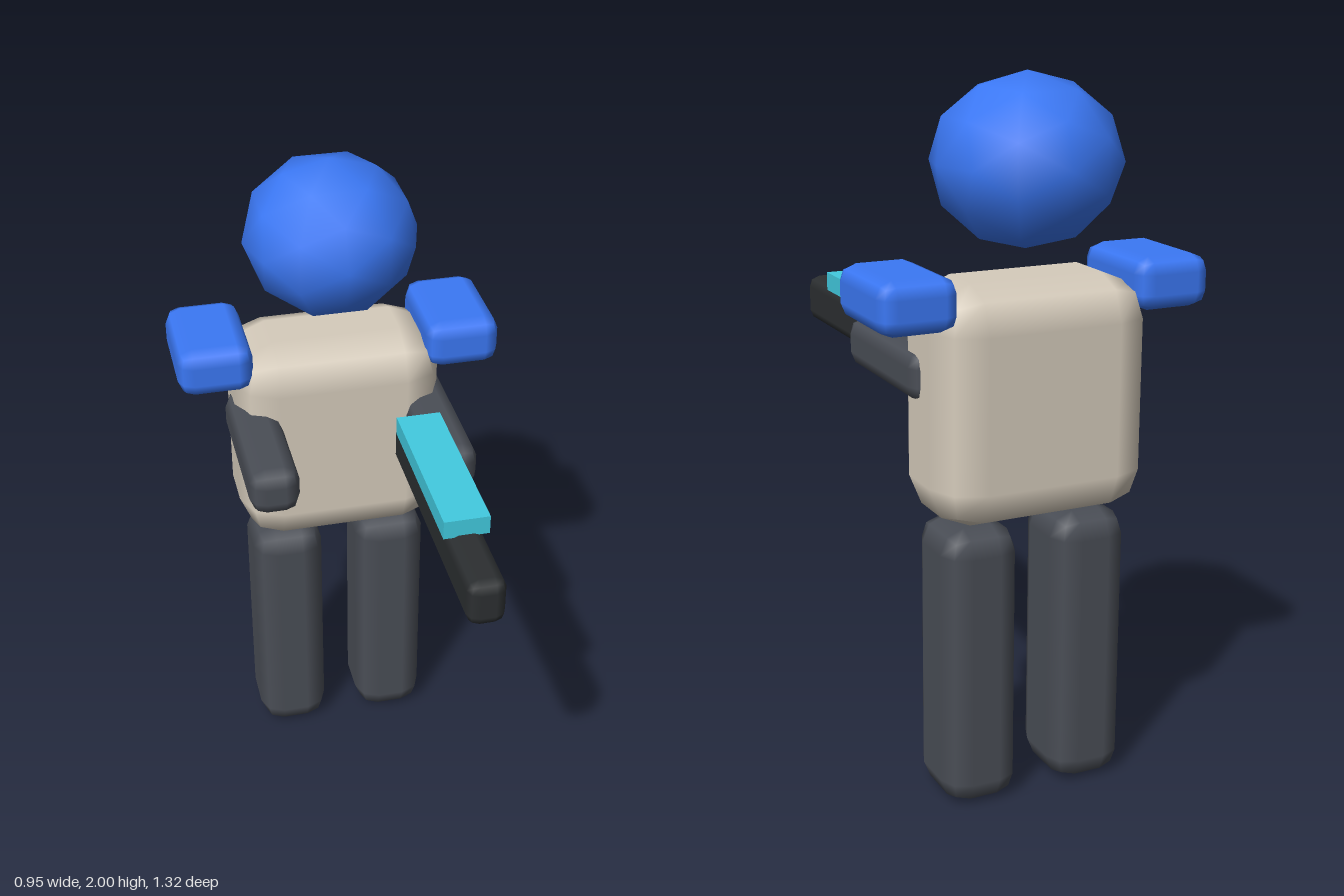
import * as THREE from 'three';
import { RoundedBoxGeometry } from 'three/addons/geometries/RoundedBoxGeometry.js';

const paint = (color) => new THREE.MeshStandardMaterial({ color });

export function createModel() {
  const model = new THREE.Group();
  const blue = paint(0x3b78f5);
  const cloth = paint(0xd6ccbc);
  const slate = paint(0x4a4e56);
  const black = paint(0x2c2f31);
  const cyan = paint(0x42cbe0);

  const add = (name, geometry, material, x, y, z) => {
    const mesh = new THREE.Mesh(geometry, material);
    mesh.name = name;
    mesh.position.set(x, y, z);
    model.add(mesh);
    return mesh;
  };
  // Block with coarse rounded edges
  const block = (w, h, d, radius) => new RoundedBoxGeometry(w, h, d, 1, radius);

  // Slightly flattened faceted head and the body below it
  add('head', new THREE.IcosahedronGeometry(0.256, 1), blue, 0, 1.77, -0.405).scale.y = 0.9;
  add('torso', block(0.62, 0.66, 0.37, 0.12), cloth, 0, 1.145, -0.405);

  // Paired limbs and shoulder pads
  for (const [side, s] of [['left', 1], ['right', -1]]) {
    add(side + 'ShoulderPad', block(0.22, 0.145, 0.33, 0.045), blue, s * 0.367, 1.442, -0.408);
    add(side + 'Arm', block(0.145, 0.14, 0.5, 0.045), slate, s * 0.259, 1.22, -0.18);
    add(side + 'Leg', block(0.22, 0.807, 0.256, 0.07), slate, s * 0.165, 0.4035, -0.403);
  }

  // Long barrel held on the left side, with a flat glowing rail on top
  add('barrel', block(0.108, 0.14, 0.81, 0.033), black, 0.183, 1.22, 0.255);
  add('rail', new THREE.BoxGeometry(0.128, 0.055, 0.513), cyan, 0.183, 1.312, 0.183);

  return model;
}
